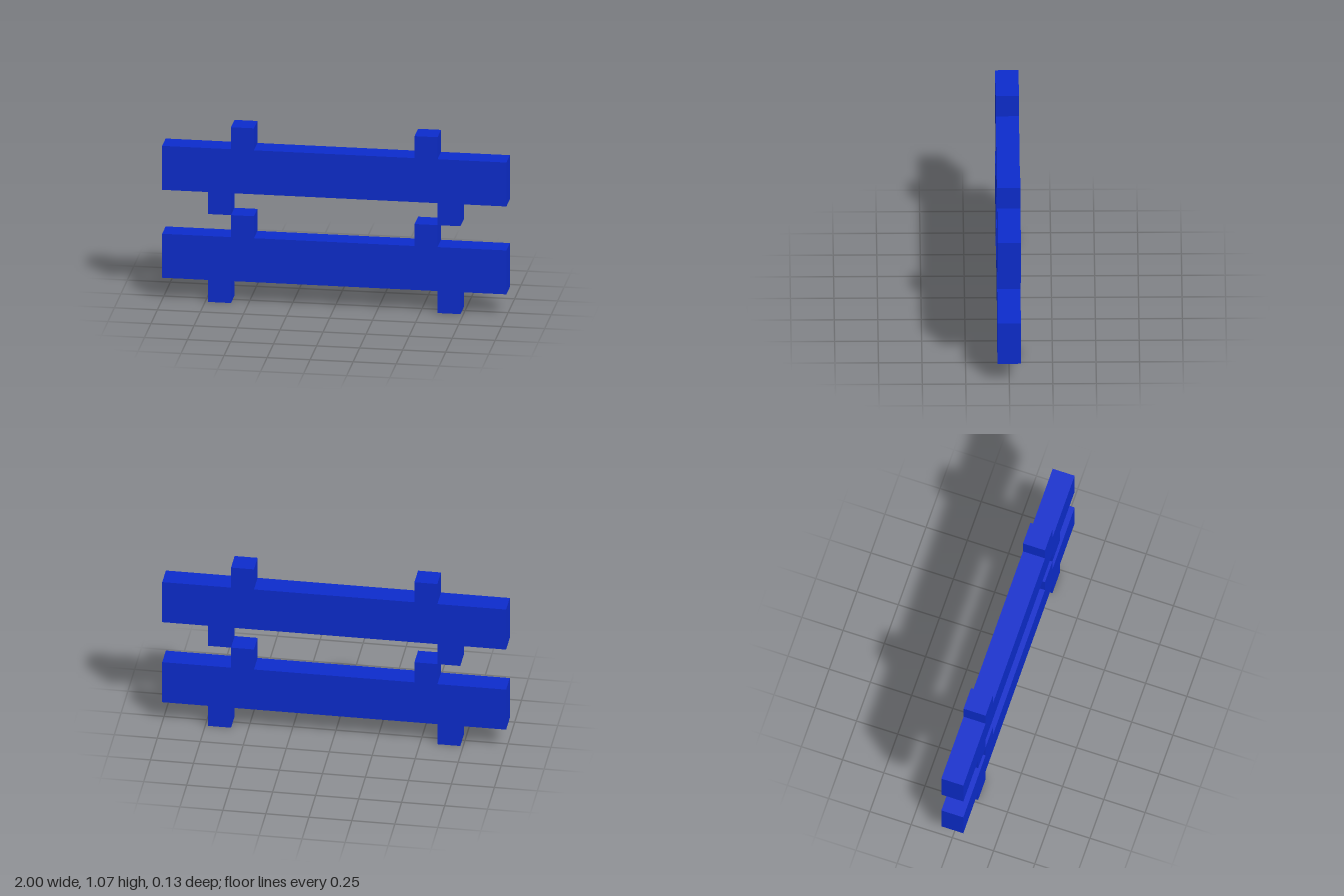
import * as THREE from 'three';

const U = 2 / 15; // grid unit: peg width and beam depth

export function createModel() {
  const model = new THREE.Group();
  model.name = 'stackedRails';

  const blue = new THREE.MeshStandardMaterial({ color: 0x0c2ccc });
  blue.name = 'blue';

  // Right half of one beam's outline, in grid units, from bottom to top:
  // foot peg below, beam end, then the inset peg on top
  const half = [
    [4.5, 1], [4.5, 0], [5.5, 0], [5.5, 1], [7.5, 1],
    [7.5, 3], [4.5, 3], [4.5, 4], [3.5, 4], [3.5, 3],
  ];
  const mirrored = half.map(([x, y]) => [-x, y]).reverse();
  const outline = [...half, ...mirrored].map(([x, y]) => new THREE.Vector2(x * U, y * U));

  const geometry = new THREE.ExtrudeGeometry(new THREE.Shape(outline), {
    depth: U, bevelEnabled: false,
  });
  geometry.translate(0, 0, -U / 2);

  // Two identical beams, the upper one resting at peg height
  ['lowerRail', 'upperRail'].forEach((name, i) => {
    const rail = new THREE.Mesh(geometry, blue);
    rail.name = name;
    rail.position.y = i * 4 * U;
    model.add(rail);
  });

  return model;
}
